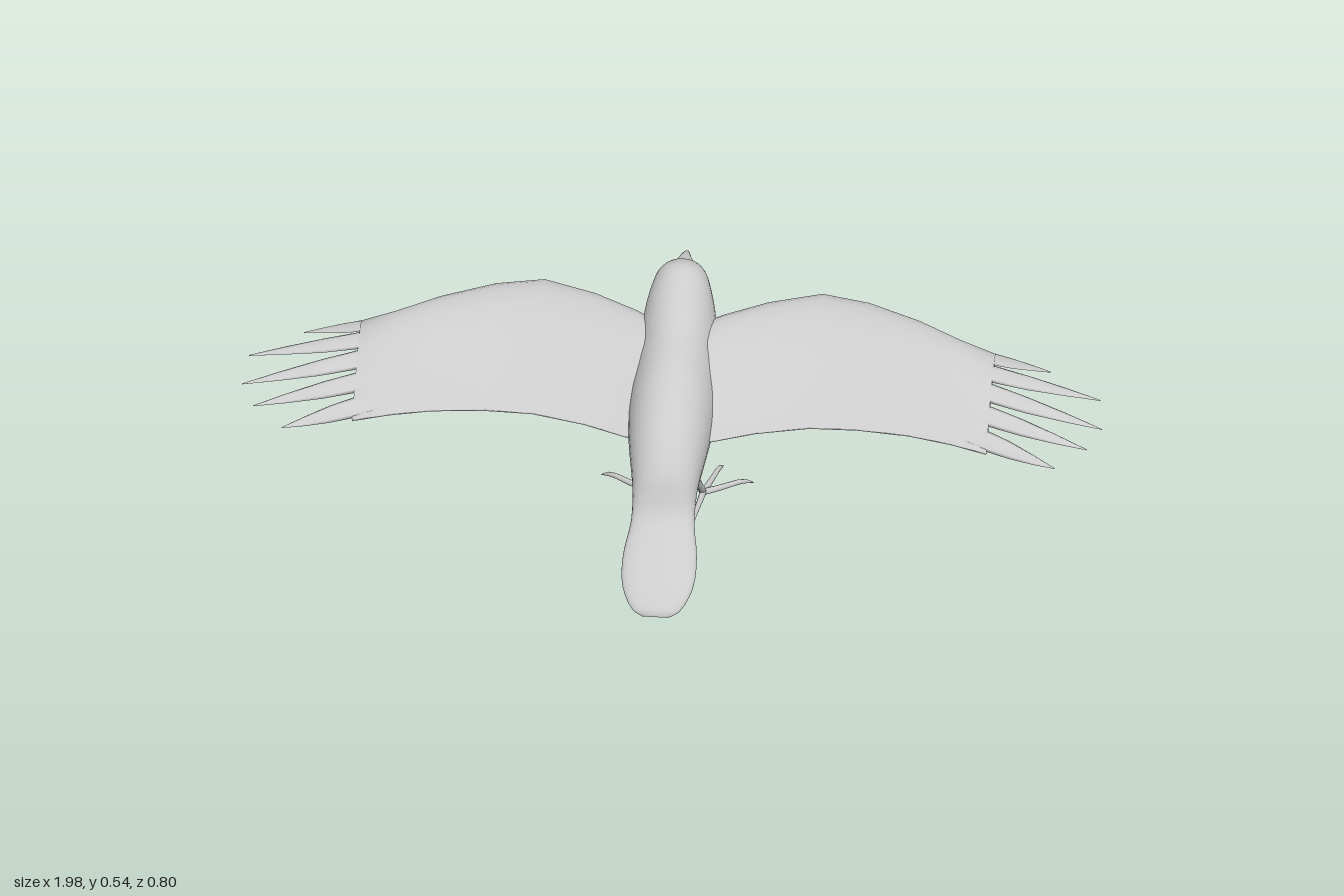
import * as THREE from 'three';

const material = new THREE.MeshStandardMaterial({ color: 0xcccccc });
const V = (x, y, z) => new THREE.Vector3(x, y, z);

// Skin a list of closed rings (equal point counts), cap both ends, wind outward
function loft(name, rings) {
  const n = rings[0].length, pts = rings.flat(), index = [];
  for (let i = 0; i < rings.length - 1; i++) {
    for (let j = 0; j < n; j++) {
      const a = i * n + j, b = i * n + (j + 1) % n;
      index.push(a, b, a + n, b, b + n, a + n);
    }
  }
  for (const [r, flip] of [[0, true], [rings.length - 1, false]]) {
    const centre = V(0, 0, 0);
    rings[r].forEach(p => centre.addScaledVector(p, 1 / n));
    const c = pts.push(centre) - 1;
    for (let j = 0; j < n; j++) {
      const a = r * n + j, b = r * n + (j + 1) % n;
      index.push(...(flip ? [b, a, c] : [a, b, c]));
    }
  }
  let volume = 0;
  for (let i = 0; i < index.length; i += 3) {
    volume += pts[index[i]].dot(V(0, 0, 0).crossVectors(pts[index[i + 1]], pts[index[i + 2]]));
  }
  if (volume < 0) index.reverse();
  const geometry = new THREE.BufferGeometry().setFromPoints(pts);
  geometry.setIndex(index);
  geometry.computeVertexNormals();
  const mesh = new THREE.Mesh(geometry, material);
  mesh.name = name;
  return mesh;
}

// Elliptical ring from a centre and two half axes
function ellipse(centre, u, v, n) {
  return Array.from({ length: n }, (_, j) => {
    const a = j / n * Math.PI * 2;
    return centre.clone().addScaledVector(u, Math.cos(a)).addScaledVector(v, Math.sin(a));
  });
}

// Round limb along a path with a radius at each point
function limb(name, path, radii, n = 10) {
  return loft(name, path.map((p, i) => {
    const dir = path[Math.min(i + 1, path.length - 1)].clone().sub(path[Math.max(i - 1, 0)]).normalize();
    const u = V(0, 0, 0).crossVectors(dir, V(0, 1, 0)).normalize();
    const v = V(0, 0, 0).crossVectors(dir, u);
    return ellipse(p, u.multiplyScalar(radii[i]), v.multiplyScalar(radii[i]), n);
  }));
}

// Tail to beak: back z, y; underside z, y; half width
const TRUNK = [
  [0.398, 0.008, 0.39, 0.003, 0.03], [0.392, 0.025, 0.375, 0.006, 0.054],
  [0.35, 0.065, 0.33, 0.036, 0.081], [0.29, 0.115, 0.27, 0.077, 0.085],
  [0.22, 0.168, 0.2, 0.117, 0.073], [0.185, 0.262, 0.13, 0.14, 0.075],
  [0.1, 0.355, 0.06, 0.156, 0.09], [0, 0.415, -0.02, 0.16, 0.1],
  [-0.07, 0.442, -0.12, 0.18, 0.1], [-0.12, 0.462, -0.2, 0.22, 0.095],
  [-0.15, 0.48, -0.255, 0.3, 0.088], [-0.18, 0.507, -0.278, 0.38, 0.079],
  [-0.21, 0.53, -0.292, 0.425, 0.069], [-0.25, 0.545, -0.3, 0.455, 0.057],
  [-0.29, 0.534, -0.306, 0.466, 0.043], [-0.312, 0.515, -0.314, 0.469, 0.031],
  [-0.35, 0.508, -0.35, 0.472, 0.015], [-0.38, 0.494, -0.38, 0.474, 0.008],
  [-0.4, 0.481, -0.4, 0.476, 0.002],
];

function trunk() {
  const back = new THREE.CatmullRomCurve3(TRUNK.map(s => V(s[4], s[1], s[0])));
  const under = new THREE.CatmullRomCurve3(TRUNK.map(s => V(s[4], s[3], s[2])));
  const steps = (TRUNK.length - 1) * 3;
  return loft('bodyHeadAndTail', Array.from({ length: steps + 1 }, (_, i) => {
    const a = back.getPoint(i / steps), b = under.getPoint(i / steps);
    const width = a.x;
    a.x = b.x = 0;
    return ellipse(a.clone().add(b).multiplyScalar(0.5), V(width, 0, 0), a.clone().sub(b).multiplyScalar(0.5), 28);
  }));
}

// Root to hand: x, leading z, y, trailing z, y, nose thickness, camber
const WING = [
  [0.04, -0.2, 0.395, 0.07, 0.265, 0.056, 0.044], [0.1, -0.24, 0.4, 0.055, 0.268, 0.058, 0.046],
  [0.2, -0.285, 0.411, 0.03, 0.28, 0.058, 0.047], [0.32, -0.33, 0.412, 0.01, 0.288, 0.056, 0.048],
  [0.43, -0.305, 0.411, 0.01, 0.29, 0.052, 0.048], [0.55, -0.255, 0.405, 0.02, 0.288, 0.042, 0.047],
  [0.65, -0.21, 0.393, 0.035, 0.28, 0.03, 0.041], [0.73, -0.187, 0.382, 0.054, 0.272, 0.012, 0.032],
];

// Point on the cambered wing section; face is +1 above, -1 below, 0 mid
function wingPoint(s, t, face) {
  const thick = s[5] * Math.min(1, Math.sqrt(t / 0.1)) * (1 - t) ** 1.2 + 0.004;
  const y = s[2] + (s[4] - s[2]) * t + s[6] * Math.sin(Math.PI * t ** 0.8) + face * thick / 2;
  return V(s[0], y, s[1] + (s[3] - s[1]) * t);
}

function wing() {
  const group = new THREE.Group();
  const ts = Array.from({ length: 14 }, (_, i) => (i / 13) ** 1.5);
  group.add(loft('wingPanel', WING.map(s => [
    ...ts.map(t => wingPoint(s, t, 1)),
    ...ts.slice().reverse().map(t => wingPoint(s, t, -1)),
  ])));

  // Spread flight feathers, fanned from the hand and lying along its curve
  const tips = [V(0.86, 0.365, -0.155), V(0.98, 0.34, -0.088), V(0.99, 0.308, -0.018),
    V(0.96, 0.282, 0.03), V(0.89, 0.26, 0.08)];
  // Along the feather: position, half width, half thickness
  const profile = [[0, 0.014, 0.001], [0.2, 0.021, 0.002], [0.33, 0.025, 0.004],
    [0.55, 0.021, 0.005], [0.78, 0.012, 0.003], [1, 0.001, 0.001]];
  tips.forEach((tip, i) => {
    const t = 0.1 + i * 0.2, hand = WING[7];
    const base = wingPoint(WING[6], t, 0), mid = wingPoint(hand, t, 0);
    const across = wingPoint(hand, t + 0.1, 0).sub(wingPoint(hand, t - 0.1, 0)).normalize();
    const up = V(0, across.z, -across.y);
    const path = new THREE.CatmullRomCurve3([base, mid, mid.clone().lerp(tip, 0.5), tip]);
    group.add(loft('flightFeather', profile.map(([p, w, h]) =>
      ellipse(path.getPoint(p), across.clone().multiplyScalar(w), up.clone().multiplyScalar(h), 8))));
  });
  return group;
}

function leg() {
  const group = new THREE.Group();
  group.add(limb('thigh', [V(0.036, 0.22, -0.075), V(0.042, 0.18, -0.058), V(0.052, 0.12, -0.03), V(0.053, 0.106, -0.024)],
    [0.02, 0.02, 0.018, 0.012], 14));
  group.add(limb('shin', [V(0.053, 0.115, -0.022), V(0.06, 0.07, -0.054), V(0.066, 0.03, -0.086)],
    [0.009, 0.007, 0.008]));
  // Three front toes and one hind toe, each ending in a claw
  const tips = [[0.015, -0.175], [0.1, -0.215], [0.175, -0.155], [0.05, 0.037]];
  tips.forEach(([x, z]) => {
    const at = (t, y) => V(0.066 + (x - 0.066) * t, y, -0.083 + (z + 0.083) * t);
    group.add(limb('toe', [at(-0.05, 0.031), at(0.3, 0.028), at(0.7, 0.028), at(0.85, 0.024), at(1, 0.014)],
      [0.008, 0.007, 0.006, 0.005, 0.001], 8));
  });
  return group;
}

// Copy a part to the opposite side, keeping its faces outward
function mirrored(source, name) {
  const group = source.clone();
  group.name = name;
  group.children.forEach(mesh => {
    mesh.geometry = mesh.geometry.clone().scale(-1, 1, 1);
    mesh.geometry.setIndex(Array.from(mesh.geometry.index.array).reverse());
    mesh.geometry.computeVertexNormals();
  });
  return group;
}

export function createModel() {
  const bird = new THREE.Group();
  bird.name = 'bird';
  bird.add(trunk());
  for (const [part, label] of [[wing(), 'Wing'], [leg(), 'Leg']]) {
    part.name = 'left' + label;
    bird.add(part, mirrored(part, 'right' + label));
  }
  return bird;
}
